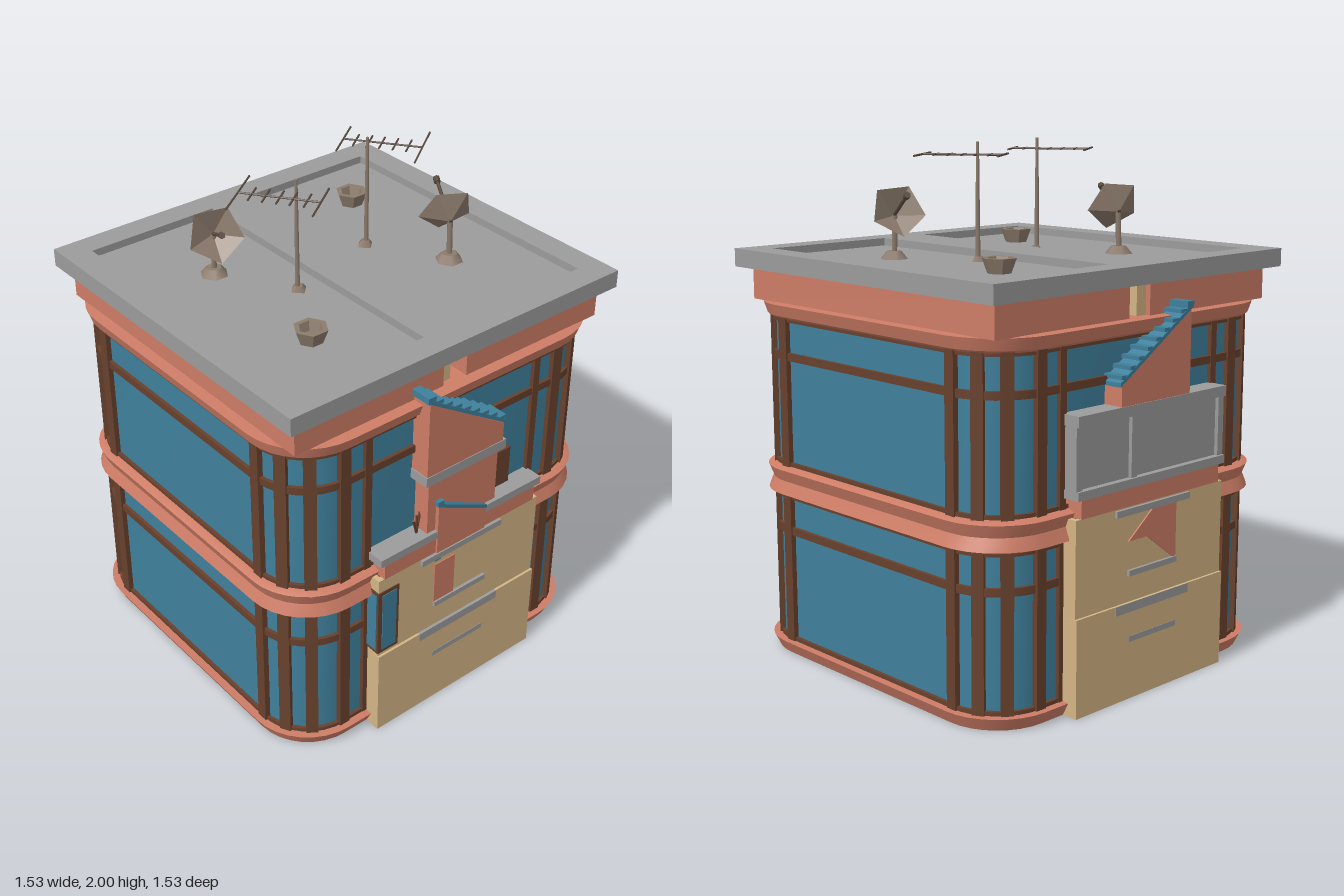
import * as THREE from 'three';
import { toCreasedNormals } from 'three/addons/utils/BufferGeometryUtils.js';

const mat = (name, color, side = THREE.FrontSide) => {
  const m = new THREE.MeshStandardMaterial({ color, side });
  m.name = name;
  return m;
};

export function createModel() {
  const glass = mat('blue glass', 0x3f809c, THREE.DoubleSide);
  const coral = mat('coral plaster', 0xce7d66);
  const tan = mat('tan plaster', 0xd4b585);
  const grey = mat('grey concrete', 0x9b9b9b);
  const brown = mat('brown frame', 0x68412d);
  const metal = mat('taupe metal', 0x8d7c6d, THREE.DoubleSide);
  const darkMetal = mat('dark metal', 0x5c4c42);

  const model = new THREE.Group();
  const add = (name, geo, m, parent = model) => {
    const mesh = new THREE.Mesh(geo, m);
    mesh.name = name;
    parent.add(mesh);
    return mesh;
  };
  // Box given by its limits
  const box = (name, m, x0, x1, y0, y1, z0, z1, parent = model) => {
    const mesh = add(name, new THREE.BoxGeometry(Math.abs(x1 - x0), y1 - y0, z1 - z0), m, parent);
    mesh.position.set((x0 + x1) / 2, (y0 + y1) / 2, (z0 + z1) / 2);
    return mesh;
  };
  // Rod between two points
  const rod = (name, m, a, b, r, parent, r2 = r, sides = 6) => {
    const A = new THREE.Vector3(...a), d = new THREE.Vector3(...b).sub(A);
    const mesh = add(name, new THREE.CylinderGeometry(r2, r, d.length(), sides), m, parent);
    mesh.position.copy(A).addScaledVector(d, 0.5);
    mesh.quaternion.setFromUnitVectors(new THREE.Vector3(0, 1, 0), d.normalize());
    return mesh;
  };
  // Outline in [z, y] extruded between two x positions
  const sidePoly = (name, m, pts, x0, x1) => {
    const shape = new THREE.Shape(pts.map(([z, y]) => new THREE.Vector2(-z, y)));
    const geo = new THREE.ExtrudeGeometry(shape, { depth: Math.abs(x1 - x0), bevelEnabled: false });
    geo.rotateY(Math.PI / 2).translate(Math.min(x0, x1), 0, 0);
    return add(name, geo, m);
  };

  // Rounded rectangular plan shared by glass, rails and bands
  const CX = 0.475, CZ = 0.51, R = 0.205, SEG = 8;
  const plan = (corner, angle, d) => {
    const sx = corner === 0 || corner === 3 ? 1 : -1, sz = corner < 2 ? 1 : -1;
    return [sx * CX + (R + d) * Math.cos(angle), sz * CZ + (R + d) * Math.sin(angle)];
  };
  // Sweep a profile of [offset, y] round the plan
  const ring = (name, m, profile, closed = true) => {
    const pos = [], path = [];
    for (let c = 0; c < 4; c++) for (let i = 0; i <= SEG; i++) path.push([c, (c + i / SEG) * Math.PI / 2]);
    const last = closed ? profile.length : profile.length - 1;
    path.forEach((p, i) => {
      const q = path[(i + 1) % path.length];
      for (let k = 0; k < last; k++) {
        const lo = profile[k], hi = profile[(k + 1) % profile.length];
        const pt = (s, [d, y]) => { const [x, z] = plan(s[0], s[1], d); return [x, y, z]; };
        const a = pt(p, lo), b = pt(q, lo), e = pt(q, hi), f = pt(p, hi);
        pos.push(...a, ...f, ...b, ...b, ...f, ...e);
      }
    });
    const geo = new THREE.BufferGeometry();
    geo.setAttribute('position', new THREE.Float32BufferAttribute(pos, 3));
    return add(name, toCreasedNormals(geo, 0.5), m);
  };
  const band = (name, m, d, y0, y1) => ring(name, m, [[d, y0], [d, y1], [-0.02, y1], [-0.02, y0]]);

  // Coral bands with flared edges
  ring('baseBand', coral, [[0.02, 0], [0.045, 0.05], [-0.02, 0.05], [-0.02, 0]]);
  ring('middleBand', coral, [[0.015, 0.64], [0.045, 0.652], [0.026, 0.7], [0.045, 0.748], [0.015, 0.76], [-0.02, 0.76], [-0.02, 0.64]]);
  ring('topBand', coral, [[0.015, 1.335], [0.03, 1.345], [0.045, 1.39], [-0.1, 1.395], [-0.1, 1.335]]);

  // Two glazed storeys with rails and mullions
  for (const [y0, y1, rail] of [[0.04, 0.65, 0.5], [0.75, 1.345, 1.19]]) {
    ring('glassWall', glass, [[0, y0], [0, y1]], false);
    band('bottomRail', brown, 0.014, y0 + 0.008, y0 + 0.025);
    band('middleRail', brown, 0.014, rail - 0.015, rail + 0.015);
    band('topRail', brown, 0.014, y1 - 0.022, y1 - 0.004);
    for (let c = 0; c < 4; c++) {
      for (const f of [0, 0.38, 0.68, 1]) {
        const angle = (c + f) * Math.PI / 2, [x, z] = plan(c, angle, 0.002);
        const m = add('mullion', new THREE.BoxGeometry(0.036, y1 - y0, 0.045), brown);
        m.position.set(x, (y0 + y1) / 2, z);
        m.rotation.y = -angle;
      }
    }
    for (const s of [-1, 1]) for (const z of [-0.405, 0.405])
      box('sideMullion', brown, s * 0.665, s * 0.697, y0, y1, z - 0.015, z + 0.015);
  }

  // Upper walls in two halves with a slot between them
  for (const s of [-1, 1]) {
    const z = [0.055 * s, 0.715 * s].sort((a, b) => a - b);
    box('upperWall', coral, -0.68, 0.68, 1.39, 1.516, z[0], z[1]);
    box('slotPost', tan, s * 0.6, s * 0.66, 1.385, 1.516, 0.005, 0.055);
  }

  // Roof slab with two sunken panels
  const slab = new THREE.Shape();
  const rect = (path, x0, x1, y0, y1) =>
    path.moveTo(x0, y0).lineTo(x1, y0).lineTo(x1, y1).lineTo(x0, y1).closePath();
  rect(slab, -0.728, 0.728, -0.765, 0.765);
  for (const [a, b] of [[0.105, 0.66], [-0.66, -0.105]]) {
    const hole = new THREE.Path();
    rect(hole, -0.625, 0.625, a, b);
    slab.holes.push(hole);
  }
  const slabGeo = new THREE.ExtrudeGeometry(slab, { depth: 0.07, bevelEnabled: false });
  add('roofSlab', slabGeo.rotateX(-Math.PI / 2).translate(0, 1.515, 0), grey);
  box('roofPanel', grey, -0.7, 0.7, 1.517, 1.555, -0.73, 0.73);

  // Inner building running through the glass shell, open below
  for (const s of [-1, 1]) {
    box('longWall', tan, -0.755, 0.755, 0, 0.73, s * 0.39 - 0.01, s * 0.39 + 0.01);
    box('endWall', tan, s * 0.735, s * 0.755, 0, 0.73, -0.398, 0.398);
    box('endWallBase', tan, s * 0.73, s * 0.765, 0, 0.37, -0.402, 0.402);
    for (const x of [-0.56, -0.35, -0.15, 0.15, 0.35, 0.56]) {
      box('windowFrame', brown, x - 0.05, x + 0.05, 0.12, 0.31, s * 0.402 - 0.003, s * 0.402 + 0.003);
      box('windowPane', glass, x - 0.035, x + 0.035, 0.135, 0.295, s * 0.404 - 0.004, s * 0.404 + 0.004);
    }
  }
  for (const x of [-0.4, -0.05, 0.3]) box('partition', coral, x - 0.01, x + 0.01, 0.04, 0.36, -0.38, 0.38);
  box('innerPartition', tan, -0.73, 0.73, 0.02, 0.36, -0.03, -0.01);
  box('ceiling', coral, -0.73, 0.73, 0.36, 0.38, -0.38, 0.38);
  box('parapet', coral, -0.758, 0.758, 0.73, 0.8, -0.375, 0.375);
  box('terraceSlab', grey, -0.765, 0.765, 0.8, 0.832, -0.4, 0.4);

  // Corner window on the left end
  box('cornerFrame', brown, 0.69, 0.759, 0.385, 0.675, 0.305, 0.404);
  box('cornerPaneSide', glass, 0.755, 0.762, 0.4, 0.66, 0.318, 0.385);
  box('cornerPaneFront', glass, 0.7, 0.75, 0.4, 0.66, 0.4, 0.407);

  // Stair towers on both ends: coral block, sloping blue cover and ledges
  const slope = (name, a, b, x0, x1) => sidePoly(name, glass,
    [[a[0], a[1]], [a[0], a[1] + 0.016], [b[0], b[1] + 0.016], [b[0], b[1]]], x0, x1);
  for (const s of [-1, 1]) {
    sidePoly('stairTower', coral, [[0.19, 1.09], [0.19, 1.415], [-0.18, 1.175], [-0.18, 1.09]], s * 0.62, s * 0.762);
    slope('stairCover', [0.2, 1.42], [-0.19, 1.172], s * 0.61, s * 0.765);
    for (let i = 0; i < 8; i++) {
      const z = 0.15 - i * 0.045, y = 1.4 - i * 0.0288;
      box('stairTread', glass, s * 0.615, s * 0.764, y, y + 0.014, z - 0.02, z + 0.02);
    }
    box('coverRidge', glass, s * 0.61, s * 0.765, 1.415, 1.44, 0.165, 0.2);
    for (const [y0, y1, h] of [[0.7, 0.725, 0.2], [0.47, 0.492, 0.13], [0.335, 0.37, 0.2], [0.22, 0.242, 0.13]])
      box('ledge', grey, s * 0.74, s * 0.767, y0, y1, -h, h);
  }
  // Left end
  box('towerBase', coral, 0.64, 0.75, 0.832, 1.07, -0.17, 0.17);
  box('towerLedge', grey, 0.64, 0.765, 1.06, 1.1, -0.195, 0.195);
  sidePoly('lowerStair', coral, [[0.13, 0.73], [0.13, 0.945], [-0.11, 0.825], [-0.11, 0.73]], 0.68, 0.766);
  slope('lowerCover', [0.135, 0.945], [-0.115, 0.82], 0.675, 0.767);
  box('lowerRidge', glass, 0.675, 0.767, 0.945, 0.965, 0.105, 0.135);
  box('coralPatch', coral, 0.752, 0.76, 0.49, 0.67, 0.03, 0.13);
  box('ridgeEnd', glass, 0.755, 0.763, 0.69, 0.715, 0.105, 0.135);
  box('terraceDoor', brown, 0.67, 0.705, 0.832, 0.99, -0.285, -0.165);
  for (const t of [-0.03, 0, 0.03])
    rod('plantStem', brown, [0.72, 0.832, 0.195], [0.72 + t / 2, 0.91, 0.195 + t], 0.005, model);
  // Right end
  box('balconyPanel', grey, -0.74, -0.69, 0.832, 1.07, -0.375, 0.375);
  for (const z of [-0.385, -0.1, 0.385]) box('balconyPost', grey, -0.755, -0.7, 0.832, 1.07, z - 0.015, z + 0.015);
  box('balconyPost', tan, -0.752, -0.7, 0.832, 1.06, 0.372, 0.402);
  box('balconyLedge', grey, -0.765, -0.66, 1.06, 1.1, -0.4, 0.4);
  sidePoly('coralStairPatch', coral, [[0.13, 0.48], [0.13, 0.7], [0, 0.7], [-0.13, 0.6], [-0.03, 0.6]], -0.761, -0.753);

  // Roof equipment, one set on each half
  const gear = new THREE.Group();
  gear.name = 'roofEquipment';
  model.add(gear);
  rod('mastFoot', metal, [0.055, 1.555, 0.205], [0.055, 1.575, 0.205], 0.035, gear, 0.02, 4);
  rod('mast', metal, [0.055, 1.56, 0.21], [0.055, 2, 0.21], 0.01, gear, 0.006);
  const boomAt = (t, off) => [-0.065 + 0.243 * t + 0.59 * off, 1.955, 0.375 - 0.178 * t + 0.807 * off];
  rod('antennaBoom', darkMetal, boomAt(0, 0), boomAt(1, 0), 0.004, gear);
  for (const [t, h] of [[0, 0.136], [0.17, 0.05], [0.34, 0.05], [0.51, 0.05], [0.67, 0.05], [0.84, 0.05], [1, 0.11]])
    rod('antennaBar', darkMetal, boomAt(t, -h), boomAt(t, h), 0.004, gear);

  const dir = new THREE.Vector3(0.84, 0.42, 0.36).normalize();
  const dishGeo = new THREE.LatheGeometry([new THREE.Vector2(0.001, -0.04), new THREE.Vector2(0.108, 0.02)], 5).toNonIndexed();
  dishGeo.computeVertexNormals();
  const dish = add('dish', dishGeo, metal, gear);
  dish.position.set(-0.205, 1.735, 0.385);
  dish.quaternion.setFromUnitVectors(new THREE.Vector3(0, 1, 0), dir);
  rod('dishArm', darkMetal, [-0.24, 1.718, 0.37], [-0.075, 1.805, 0.445], 0.007, gear);
  rod('dishReceiver', darkMetal, [-0.085, 1.8, 0.44], [-0.065, 1.81, 0.45], 0.013, gear);
  rod('dishPost', metal, [-0.235, 1.56, 0.375], [-0.23, 1.72, 0.375], 0.011, gear);
  rod('dishFoot', metal, [-0.235, 1.555, 0.375], [-0.235, 1.585, 0.375], 0.055, gear, 0.03);

  // Flared hexagonal vent with a sunken top
  const ventGeo = new THREE.LatheGeometry([[0.045, 0], [0.065, 0.055], [0.045, 0.055], [0.035, 0.02], [0, 0.02]]
    .map(([x, y]) => new THREE.Vector2(x, y)), 6).toNonIndexed();
  ventGeo.computeVertexNormals();
  add('vent', ventGeo, metal, gear).position.set(0.36, 1.555, 0.39);

  const otherGear = gear.clone();
  otherGear.rotation.y = Math.PI;
  model.add(otherGear);
  return model;
}
